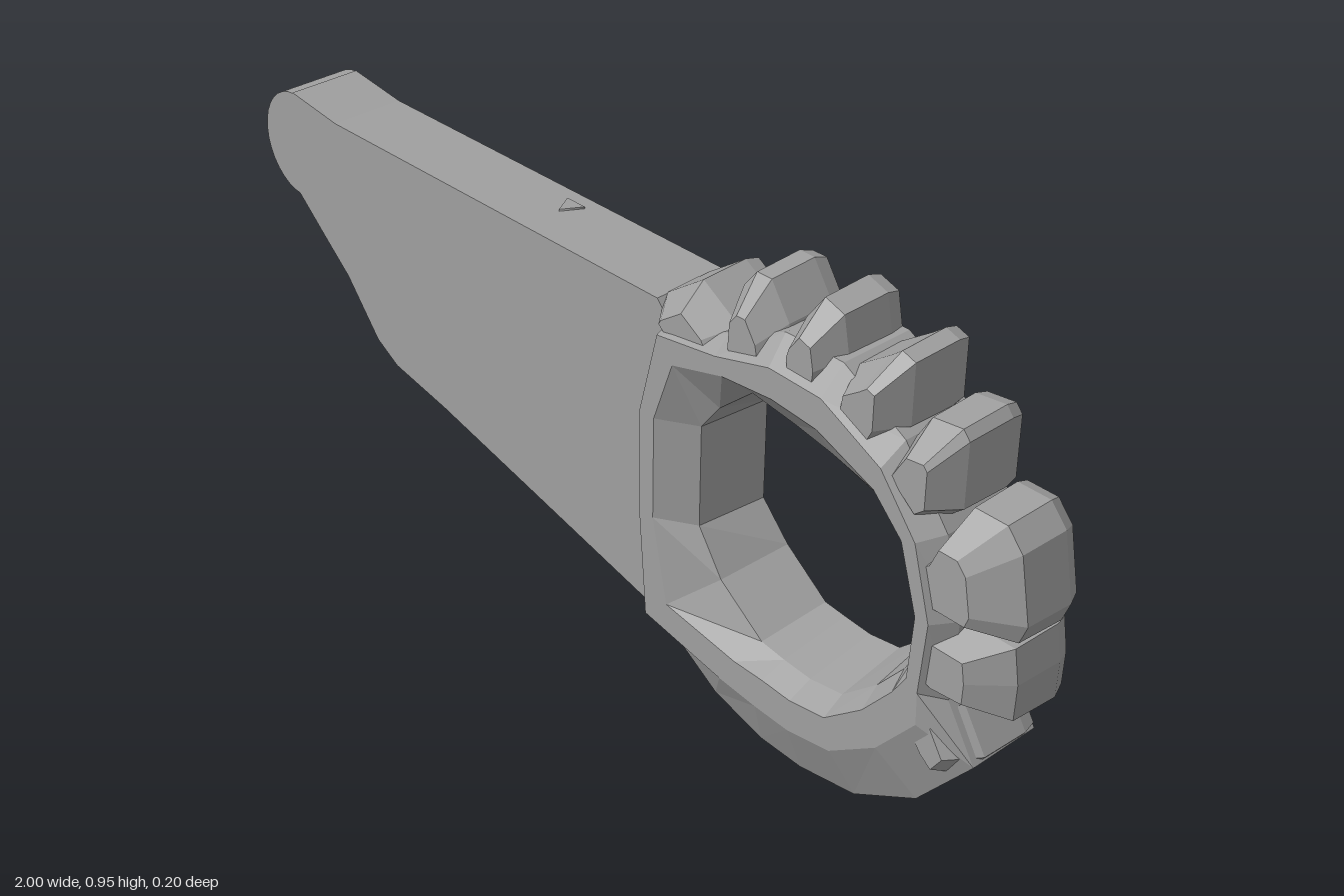
import * as THREE from 'three';

const BACK = -0.1;
const mix = (p, q, t) => [p[0] + (q[0] - p[0]) * t, p[1] + (q[1] - p[1]) * t];
const atZ = (pts, z) => pts.map(([x, y]) => [x, y, z]);

// Joins counter-clockwise outlines from back to front; either caps the ends or loops the section.
function loft(rings, looped = false) {
  const pos = [];
  const n = rings[0].length;
  const tri = (a, b, c) => pos.push(...a, ...b, ...c);
  const spans = looped ? rings.length : rings.length - 1;
  for (let k = 0; k < spans; k++) {
    const lo = rings[k], hi = rings[(k + 1) % rings.length];
    for (let i = 0; i < n; i++) {
      const j = (i + 1) % n;
      tri(lo[i], lo[j], hi[j]);
      tri(lo[i], hi[j], hi[i]);
    }
  }
  if (!looped) {
    const cap = (r, flip) => {
      const flat = r.map(([x, y]) => new THREE.Vector2(x, y));
      for (const [a, b, c] of THREE.ShapeUtils.triangulateShape(flat, [])) {
        if (flip) tri(r[c], r[b], r[a]); else tri(r[a], r[b], r[c]);
      }
    };
    cap(rings[0], true);
    cap(rings[rings.length - 1], false);
  }
  const g = new THREE.BufferGeometry();
  g.setAttribute('position', new THREE.Float32BufferAttribute(pos, 3));
  g.computeVertexNormals();
  return g;
}

export function createModel() {
  const model = new THREE.Group();
  const grey = new THREE.MeshStandardMaterial({ color: 0xa0a0a0 });
  grey.name = 'grey';
  const add = (name, geometry) => {
    const mesh = new THREE.Mesh(geometry, grey);
    mesh.name = name;
    model.add(mesh);
    return mesh;
  };

  // Tapered blade: the lower edge is hollowed towards the back
  const blade = (midY, humpY) => [
    [-0.9, 0.6], [-0.82, 0.53], [-0.75, 0.47], [-0.66, 0.36], [-0.6, 0.325],
    [-0.45, humpY], [-0.13, midY], [0.165, 0.145], [0.2, 0.4], [0.24, 0.72],
    [0.165, 0.805], [-0.76, 0.805], [-0.9, 0.823],
  ];
  add('blade', loft([atZ(blade(0.265, 0.315), BACK), atZ(blade(0.217, 0.295), 0.057)]));

  // Rounded end of the blade
  const tip = [];
  for (let i = 0; i <= 16; i++) {
    const a = Math.PI / 2 + (i / 16) * Math.PI;
    tip.push([-0.895 + Math.cos(a) * 0.105, 0.711 + Math.sin(a) * 0.111]);
  }
  add('roundedEnd', loft([atZ(tip, BACK), atZ(tip, 0.057)]));

  // Ring spokes: outer point, hole point, bevel share
  const spokes = [
    [[0.88, 0.51], [0.785, 0.51], 0.3], [[0.84, 0.66], [0.745, 0.625], 0.3],
    [[0.74, 0.79], [0.70, 0.635], 0.25], [[0.60, 0.87], [0.58, 0.664], 0.25],
    [[0.47, 0.87], [0.50, 0.682], 0.25], [[0.34, 0.81], [0.40, 0.705], 0.2],
    [[0.2, 0.78], [0.33, 0.635], 0.08], [[0.165, 0.6], [0.285, 0.59], 0.03],
    [[0.165, 0.39], [0.285, 0.38], 0.03], [[0.165, 0.145], [0.35, 0.31], 0.12],
    [[0.33, 0.04], [0.45, 0.235], 0.45], [[0.45, 0.005], [0.50, 0.23], 0.5],
    [[0.55, 0], [0.56, 0.225], 0.5], [[0.68, 0.02], [0.63, 0.235], 0.5],
    [[0.82, 0.1], [0.70, 0.3], 0.5], [[0.935, 0.24], [0.75, 0.36], 0.5],
    [[0.87, 0.345], [0.785, 0.4], 0.35],
  ];
  const along = (f, z) => atZ(spokes.map(([o, h, b]) => mix(o, h, f(b))), z);
  add('ring', loft([
    along(() => 0, BACK),
    along(() => 0, 0.055),
    along((b) => b, 0.1),
    along((b) => b + 0.3, 0.1),
    along(() => 0.9, 0.05),
    along(() => 1, BACK),
  ], true));

  // Rough teeth around the ring, each listed clockwise from base to base
  const teeth = [
    [[0.15, 0.79], [0.16, 0.807], [0.25, 0.87], [0.34, 0.815]],
    [[0.34, 0.81], [0.345, 0.9], [0.375, 0.938], [0.41, 0.938], [0.455, 0.87]],
    [[0.48, 0.865], [0.49, 0.9], [0.53, 0.955], [0.575, 0.94], [0.59, 0.865]],
    [[0.61, 0.865], [0.675, 0.91], [0.7, 0.93], [0.73, 0.92], [0.73, 0.8]],
    [[0.74, 0.79], [0.77, 0.84], [0.835, 0.848], [0.85, 0.83], [0.85, 0.7]],
    [[0.84, 0.65], [0.87, 0.72], [0.94, 0.72], [0.975, 0.68], [1, 0.55], [0.985, 0.51], [0.87, 0.51]],
    [[0.87, 0.5], [0.98, 0.5], [0.992, 0.43], [0.99, 0.355], [0.87, 0.345]],
    [[0.83, 0.28], [0.885, 0.338], [0.94, 0.25], [0.9, 0.19]],
  ];
  const centre = [0.55, 0.45];
  teeth.forEach((t, i) => {
    const first = t[0], last = t[t.length - 1];
    const outline = [mix(first, centre, 0.12), ...t, mix(last, centre, 0.12)].reverse();
    const base = mix(mix(first, last, 0.5), centre, 0.08);
    const shrink = (s) => outline.map((p) => mix(p, base, s));
    add('tooth' + (i + 1), loft([
      atZ(shrink(0.08), BACK), atZ(shrink(0), -0.07),
      atZ(shrink(0.03), 0.03), atZ(shrink(0.45), 0.09),
    ]));
  });

  // Tiny triangular chip on the upper edge
  const chip = add('edgeChip', new THREE.CylinderGeometry(0.028, 0.028, 0.006, 3));
  chip.position.set(-0.19, 0.806, -0.055);
  return model;
}
